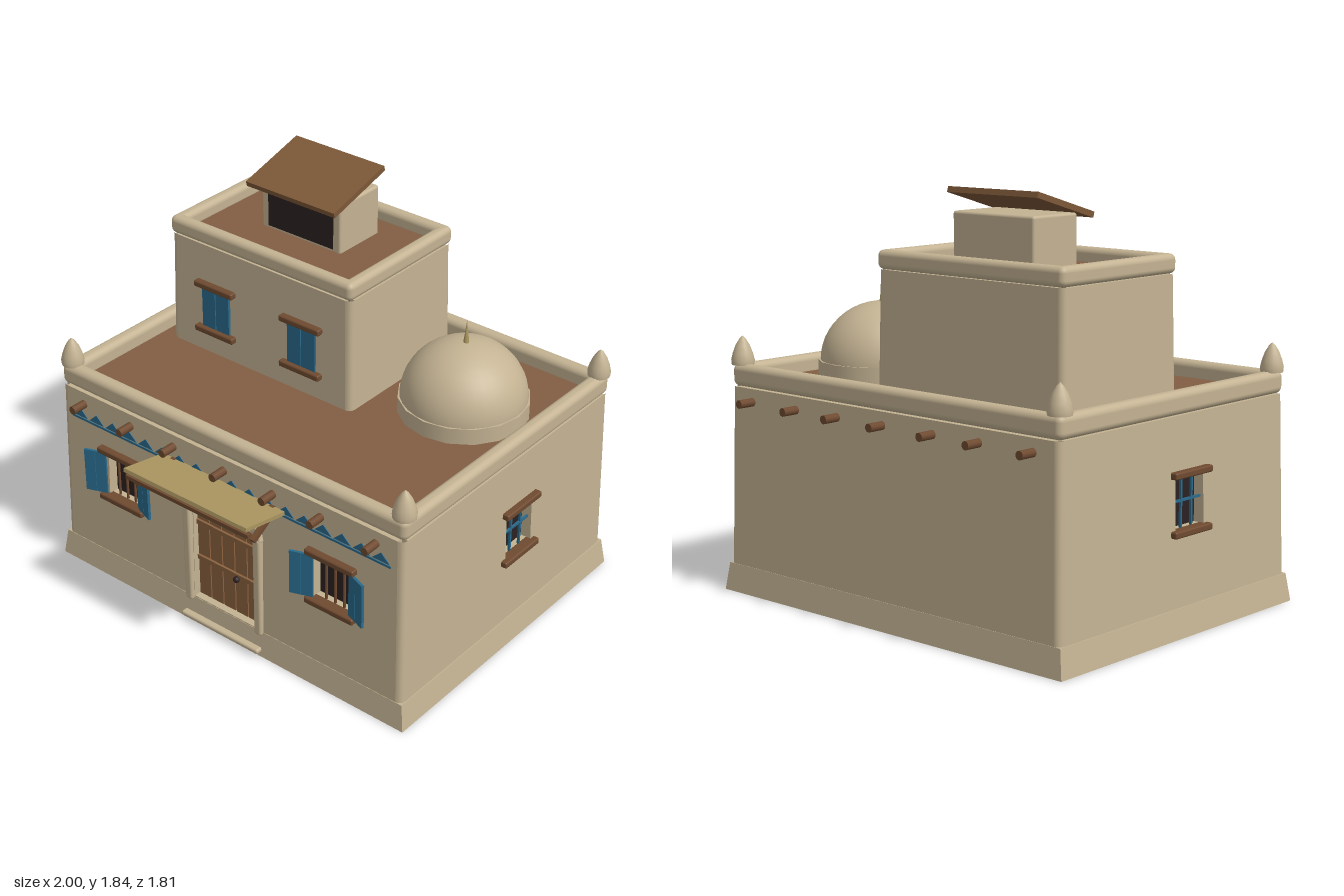
import * as THREE from 'three';
import { RoundedBoxGeometry } from 'three/addons/geometries/RoundedBoxGeometry.js';

const mat = (name, color) => Object.assign(new THREE.MeshStandardMaterial({ color }), { name });

export function createModel() {
  const adobe = mat('adobe', 0xc4b393);
  const clay = mat('clay roof', 0x825e43);
  const beam = mat('dark timber', 0x6f4a30);
  const board = mat('roof board', 0x7d5838);
  const plank = mat('door plank', 0x8c6240);
  const blue = mat('blue paint', 0x2a6a8c);
  const dark = mat('dark opening', 0x2c2122);
  const straw = mat('straw', 0xab9660);

  const model = new THREE.Group();
  model.name = 'adobeHouse';

  const add = (parent, name, geo, material, x = 0, y = 0, z = 0) => {
    const m = new THREE.Mesh(geo, material);
    m.name = name;
    m.position.set(x, y, z);
    parent.add(m);
    return m;
  };
  const box = (w, h, d) => new THREE.BoxGeometry(w, h, d);
  const soft = (w, h, d, r) => new RoundedBoxGeometry(w, h, d, 3, r);
  const group = (parent, name, x = 0, y = 0, z = 0) => {
    const g = new THREE.Group();
    g.name = name;
    g.position.set(x, y, z);
    parent.add(g);
    return g;
  };

  // Narrows a geometry in plan as it rises
  const lean = (geo, y0, k) => {
    const p = geo.attributes.position;
    for (let i = 0; i < p.count; i++) {
      const s = 1 - k * (p.getY(i) - y0);
      p.setX(i, p.getX(i) * s);
      p.setZ(i, p.getZ(i) * s);
    }
    geo.computeVertexNormals();
    return geo;
  };

  // Flat wall with rectangular holes [x, y, width, height], outer face at z = 0
  const wallGeo = (hw, y0, y1, holes) => {
    const rect = (s, x0, b, x1, t) => s.moveTo(x0, b).lineTo(x1, b).lineTo(x1, t).lineTo(x0, t).closePath();
    const s = rect(new THREE.Shape(), -hw, y0, hw, y1);
    for (const [x, y, w, h] of holes) {
      s.holes.push(rect(new THREE.Path(), x - w / 2, y - h / 2, x + w / 2, y + h / 2));
    }
    return new THREE.ExtrudeGeometry(s, { depth: 0.06, bevelEnabled: false }).translate(0, 0, -0.06);
  };

  // Four leaning walls, rounded corners, flat roof and soft parapet
  const storey = (name, o) => {
    const g = group(model, name, o.cx, 0, o.cz);
    const r = 0.03;
    const sides = [['front', 0, o.hz, o.hx], ['left', Math.PI / 2, o.hx, o.hz],
      ['back', Math.PI, o.hz, o.hx], ['right', -Math.PI / 2, o.hx, o.hz]];
    for (const [side, a, dist, hw] of sides) {
      const geo = wallGeo(hw - r, o.y0, o.y1, o.holes[side] || []).translate(0, 0, dist).rotateY(a);
      add(g, side + 'Wall', lean(geo, o.y0, o.k), adobe);
    }
    for (const sx of [-1, 1]) for (const sz of [-1, 1]) {
      const c = new THREE.CylinderGeometry(r, r, o.y1 - o.y0, 16, 1, true)
        .translate(sx * (o.hx - r), (o.y0 + o.y1) / 2, sz * (o.hz - r));
      add(g, 'wallCorner', lean(c, o.y0, o.k), adobe);
    }
    add(g, 'flatRoof', box(2 * o.px - o.pw, 0.04, 2 * o.pz - o.pw), clay, 0, o.roof - 0.02, 0);
    const h = o.top - o.y1, y = (o.top + o.y1) / 2, pr = o.pw * 0.42;
    for (const s of [-1, 1]) {
      add(g, 'parapet', soft(2 * o.px, h, o.pw, pr), adobe, 0, y, s * (o.pz - o.pw / 2));
      add(g, 'parapet', soft(o.pw, h, 2 * o.pz, pr), adobe, s * (o.px - o.pw / 2), y, 0);
    }
    return g;
  };

  const WIN = [0.19, 0.22];
  const ground = storey('groundFloor', {
    cx: 0, cz: -0.083, hx: 0.977, hz: 0.757, y0: 0.1, y1: 0.93, k: 0.024,
    px: 0.963, pz: 0.74, pw: 0.07, top: 1.03, roof: 0.955,
    holes: {
      front: [[-0.6, 0.565, ...WIN], [0.6, 0.565, ...WIN], [0, 0.375, 0.36, 0.49]],
      left: [[0.072, 0.565, ...WIN]], right: [[0.072, 0.565, ...WIN]].map(([x, ...w]) => [x, ...w]),
    },
  });
  const upper = storey('upperFloor', {
    cx: -0.311, cz: -0.295, hx: 0.524, hz: 0.363, y0: 0.93, y1: 1.49, k: 0.04,
    px: 0.518, pz: 0.361, pw: 0.062, top: 1.573, roof: 1.51,
    holes: { front: [[-0.25, 1.185, 0.16, 0.2], [0.247, 1.185, 0.16, 0.2]] },
  });

  // Sloping plinth
  const plinth = lean(box(2, 0.125, 1.546).translate(0, 0.0625, 0), 0, 0.15);
  add(ground, 'plinth', plinth.toNonIndexed(), adobe).geometry.computeVertexNormals();

  // Window facing +z: lintel, sill, dark back
  const windowAt = (parent, name, x, y, z, angle, w, h, lintel) => {
    const g = group(parent, name, x, y, z);
    g.rotation.y = angle;
    add(g, 'lintel', soft(lintel, 0.03, 0.05, 0.008), beam, 0, h / 2 + 0.012, 0.003);
    add(g, 'sill', soft(lintel, 0.03, 0.055, 0.008), beam, 0, -h / 2 - 0.014, 0.003);
    add(g, 'opening', box(w + 0.02, h + 0.02, 0.008), dark, 0, 0, -0.052);
    return g;
  };

  for (const s of [-1, 1]) {
    // Barred front windows with open shutters
    const f = windowAt(ground, 'frontWindow', s * 0.6, 0.565, 0.75, 0, ...WIN, 0.26);
    for (const x of [-0.048, 0, 0.048]) add(f, 'bar', new THREE.CylinderGeometry(0.006, 0.006, 0.22, 8), beam, x, 0, -0.025);
    for (const t of [-1, 1]) {
      const hinge = group(f, 'shutter', t * 0.097, 0, 0.004);
      hinge.rotation.y = -t * 0.35;
      for (const i of [0, 1]) add(hinge, 'shutterPlank', box(0.051, 0.215, 0.012), blue, t * (0.026 + i * 0.053), 0, 0);
    }
    // Side windows with blue glazing bars
    const z = s > 0 ? -0.072 : 0.072;
    const w = windowAt(ground, 'sideWindow', s * 0.966, 0.565, z, s * Math.PI / 2, ...WIN, 0.25);
    for (const x of [-0.035, 0.035]) add(w, 'glazingBar', box(0.01, 0.22, 0.01), blue, x, 0, -0.02);
    add(w, 'glazingBar', box(0.19, 0.01, 0.01), blue, 0, 0.005, -0.02);
    // Upper windows with closed shutters
    const u = windowAt(upper, 'upperWindow', s * 0.249, 1.185, 0.36, 0, 0.16, 0.2, 0.225);
    for (const t of [-1, 1]) add(u, 'closedShutter', box(0.076, 0.2, 0.014), blue, t * 0.04, 0, 0.002);
  }

  // Roof beams running through the house
  for (const x of [-0.825, -0.54, -0.285, 0.005, 0.278, 0.535, 0.82]) {
    add(model, 'roofBeam', new THREE.CylinderGeometry(0.019, 0.019, 1.64, 10).rotateX(Math.PI / 2), beam, x, 0.872, -0.085);
  }

  // Painted frieze
  const tri = new THREE.Shape([[-0.045, 0], [0.045, 0], [0, 0.042]].map(p => new THREE.Vector2(...p)));
  const triGeo = new THREE.ExtrudeGeometry(tri, { depth: 0.008, bevelEnabled: false });
  for (let i = 0; i < 18; i++) add(model, 'friezeTriangle', triGeo, blue, -0.85 + i * 0.1, 0.8, 0.656);
  add(model, 'friezeLine', box(1.8, 0.01, 0.009), blue, 0, 0.79, 0.661);

  // Plank door in an arched surround
  const door = group(model, 'door', 0, 0, 0.63);
  add(door, 'doorBack', box(0.38, 0.5, 0.008), dark, 0, 0.375, -0.012);
  for (let i = 0; i < 5; i++) add(door, 'doorPlank', box(0.066, 0.49, 0.02), plank, (i - 2) * 0.072, 0.375, 0);
  for (const y of [0.335, 0.525]) add(door, 'doorBatten', box(0.35, 0.022, 0.012), plank, 0, y, 0.015);
  add(door, 'doorKnob', new THREE.SphereGeometry(0.015, 12, 8), dark, 0.06, 0.325, 0.03);
  for (const s of [-1, 1]) add(model, 'doorPost', soft(0.042, 0.51, 0.05, 0.012), adobe, s * 0.202, 0.365, 0.667);
  const N = 9;
  for (let i = 0; i < N; i++) {
    const a = Math.PI * (i + 0.5) / N;
    const stone = add(model, 'archStone', soft(0.075, 0.044, 0.05, 0.01), adobe, 0.2 * Math.cos(a), 0.61 + 0.152 * Math.sin(a), 0.663);
    stone.rotation.z = Math.atan2(0.152 * Math.cos(a), -0.2 * Math.sin(a)) + Math.PI;
  }
  add(model, 'doorStep', soft(0.45, 0.025, 0.08, 0.01), adobe, -0.005, 0.033, 0.675);

  // Straw awning with timber supports
  add(model, 'awning', box(0.69, 0.018, 0.26), straw, 0, 0.828, 0.777).rotation.x = -0.19;
  add(model, 'awningCrossbeam', box(0.69, 0.018, 0.02), beam, 0, 0.812, 0.885);
  for (const s of [-1, 1]) {
    add(model, 'awningArm', box(0.024, 0.02, 0.25), beam, s * 0.28, 0.808, 0.77);
    add(model, 'awningBrace', box(0.024, 0.022, 0.16), beam, s * 0.28, 0.75, 0.727).rotation.x = 0.55;
  }

  // Corner finials
  const bullet = [[0.05, 0], [0.052, 0.02], [0.045, 0.05], [0.032, 0.085], [0.014, 0.115], [0, 0.128]];
  const finial = new THREE.LatheGeometry(bullet.map(p => new THREE.Vector2(...p)), 16);
  for (const x of [-0.927, 0.927]) for (const z of [-0.785, 0.615]) add(model, 'cornerFinial', finial, adobe, x, 1.025, z);

  // Dome on a drum with a spike
  const dome = group(model, 'dome', 0.57, 0, -0.27);
  add(dome, 'drum', new THREE.CylinderGeometry(0.29, 0.29, 0.09, 16), adobe, 0, 0.985, 0);
  add(dome, 'domeShell', new THREE.SphereGeometry(0.28, 32, 12, 0, Math.PI * 2, 0, Math.PI / 2).scale(1, 0.95, 1), adobe, 0, 1.025, 0);
  add(dome, 'spike', new THREE.ConeGeometry(0.015, 0.12, 10), straw, 0, 1.335, 0);

  // Rooftop shelter
  const hut = group(model, 'roofShelter', -0.31, 0, -0.36);
  add(hut, 'shelterBody', soft(0.45, 0.25, 0.27, 0.012), adobe, 0, 1.617, 0);
  add(hut, 'shelterOpening', box(0.37, 0.2, 0.008), dark, 0, 1.62, 0.134);
  add(hut, 'shelterRoof', box(0.5, 0.025, 0.36), board, 0, 1.78, 0.035).rotation.x = 0.28;

  return model;
}
